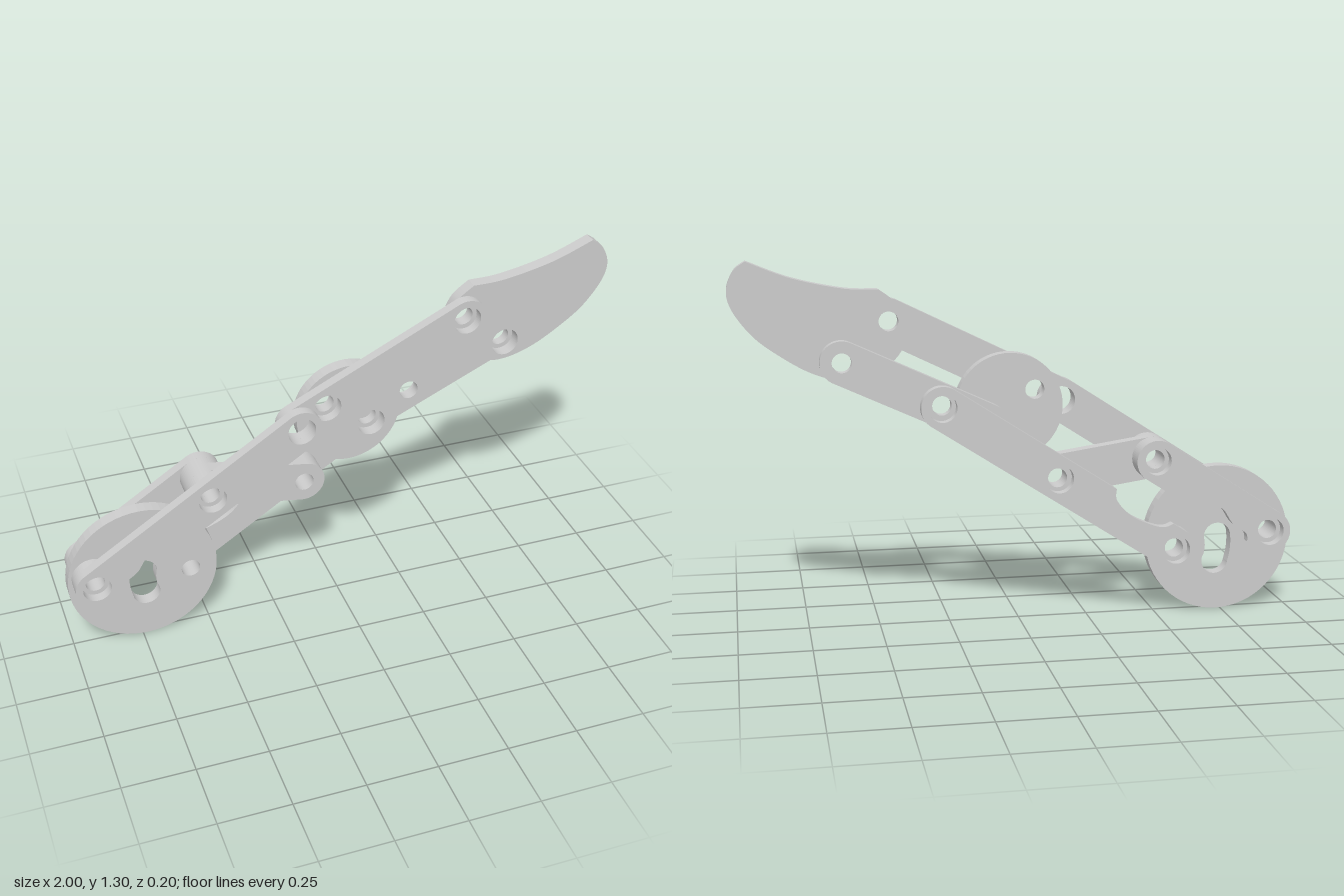
import * as THREE from 'three';

const R = 0.075;          // rounded bar end and spacer radius
const WIDE = 0.05;        // outer bore
const BORE = 0.034;       // inner bore
// z ranges of the five stacked layers
const BACK2 = [-0.1, -0.062], BACK1 = [-0.062, -0.024], MID = [-0.024, 0.024];
const FRONT1 = [0.024, 0.062], FRONT2 = [0.062, 0.1];

// Pivot positions [x, y]
const P = {
  base: [-0.91, 0.3], post: [-0.485, 0.575], knuckle: [-0.16, 0.785],
  lower: [-0.56, 0.247], elbow: [-0.13, 0.522], upper: [0.28, 0.79],
  discA: [-0.055, 0.835], discB: [0.12, 0.72],
  tipA: [0.455, 1.085], tipB: [0.62, 0.95],
};

const v2 = (pts) => pts.map(([x, y]) => new THREE.Vector2(x, y));

function circlePath(x, y, r, PathType = THREE.Path) {
  const p = new PathType();
  p.absarc(x, y, r, 0, Math.PI * 2, false);
  return p;
}

export function createModel() {
  const model = new THREE.Group();
  const material = new THREE.MeshStandardMaterial({ color: 0xcccccc });

  function plate(name, shape, [z0, z1]) {
    const geo = new THREE.ExtrudeGeometry(shape, { depth: z1 - z0, bevelEnabled: false, curveSegments: 32 });
    geo.translate(0, 0, z0);
    const mesh = new THREE.Mesh(geo, material);
    mesh.name = name;
    model.add(mesh);
    return mesh;
  }

  function disc(name, [x, y], r, holes, layer) {
    const s = circlePath(x, y, r, THREE.Shape);
    for (const [c, hr] of holes) s.holes.push(circlePath(c[0], c[1], hr));
    return plate(name, s, layer);
  }

  // Round-ended bar from a to b; lowBite and highBite are notches [along, across] in its edges
  function bar(name, a, b, bore, layer, { mids = [], lowBite, highBite } = {}) {
    const dx = b[0] - a[0], dy = b[1] - a[1], len = Math.hypot(dx, dy);
    const s = new THREE.Shape();
    s.moveTo(0, -R);
    if (lowBite) {
      s.lineTo(...lowBite[0]);
      s.splineThru(v2(lowBite.slice(1)));
    }
    s.lineTo(len, -R);
    s.absarc(len, 0, R, -Math.PI / 2, Math.PI / 2, false);
    if (highBite) {
      s.lineTo(...highBite[0]);
      s.splineThru(v2(highBite.slice(1)));
    }
    s.lineTo(0, R);
    s.absarc(0, 0, R, Math.PI / 2, Math.PI * 1.5, false);
    for (const c of [a, b, ...mids]) {
      const u = ((c[0] - a[0]) * dx + (c[1] - a[1]) * dy) / len;
      s.holes.push(circlePath(u, 0, bore));
    }
    const mesh = plate(name, s, layer);
    mesh.position.set(a[0], a[1], 0);
    mesh.rotation.z = Math.atan2(dy, dx);
    return mesh;
  }

  // Base disc with a curved slot
  const base = circlePath(-0.732, 0.268, 0.268, THREE.Shape);
  for (const c of [P.base, P.lower]) base.holes.push(circlePath(c[0], c[1], BORE));
  const slot = new THREE.Path();
  slot.absarc(-0.733, 0.272, 0.05, 0, Math.PI, false);
  slot.quadraticCurveTo(-0.788, 0.225, -0.773, 0.175);
  slot.absarc(-0.725, 0.182, 0.049, Math.PI * 1.03, Math.PI * 2.1, false);
  slot.quadraticCurveTo(-0.694, 0.228, -0.683, 0.272);
  base.holes.push(slot);
  plate('baseDisc', base, MID);

  // Lower bars, notched to clear the slot
  const lowBite = [[0.055, -R], [0.077, -0.052], [0.14, -0.047], [0.2, -0.022], [0.237, -0.032], [0.262, -R]];
  const highBite = [[0.315, R], [0.29, 0.041], [0.215, 0.021], [0.126, 0.033], [0.085, 0.05], [0.065, R]];
  bar('frontLowerBar', P.base, P.knuckle, WIDE, FRONT2, { mids: [P.post], lowBite });
  bar('backShortLink', P.base, P.post, WIDE, BACK2, { lowBite });
  bar('backLowerBar', P.lower, P.upper, WIDE, BACK2, { mids: [P.elbow], highBite });
  bar('crossLink', P.post, P.elbow, BORE, MID);

  // Spacers between the layers
  for (const [name, c, layers] of [
    ['baseSpacer', P.base, [FRONT1, BACK1]],
    ['postSpacer', P.post, [FRONT1, BACK1]],
    ['lowerSpacer', P.lower, [BACK1]],
    ['elbowSpacer', P.elbow, [BACK1]],
  ]) for (const layer of layers) disc(name, c, R, [[c, BORE]], layer);

  // Middle joint disc and upper bars
  disc('jointDisc', [0.035, 0.776], 0.19, [[P.discA, BORE], [P.discB, WIDE]], MID);
  bar('frontUpperBar', P.knuckle, P.tipA, WIDE, FRONT1, { mids: [P.discA] });
  bar('backUpperBar', P.discB, P.tipB, BORE, BACK1, { mids: [P.upper] });

  // Curved end piece
  const tip = new THREE.Shape();
  tip.moveTo(0.489, 1.195);
  tip.splineThru(v2([[0.607, 1.2], [0.783, 1.238], [0.933, 1.296]]));
  tip.splineThru(v2([
    [0.972, 1.265], [0.998, 1.2], [0.981, 1.131], [0.917, 1.045], [0.837, 0.981], [0.73, 0.917],
    [0.628, 0.885], [0.543, 0.89], [0.463, 0.928], [0.409, 0.987], [0.393, 1.056], [0.425, 1.142], [0.489, 1.195],
  ]));
  tip.holes.push(circlePath(...P.tipA, BORE), circlePath(...P.tipB, WIDE));
  plate('tipPlate', tip, MID);

  return model;
}
